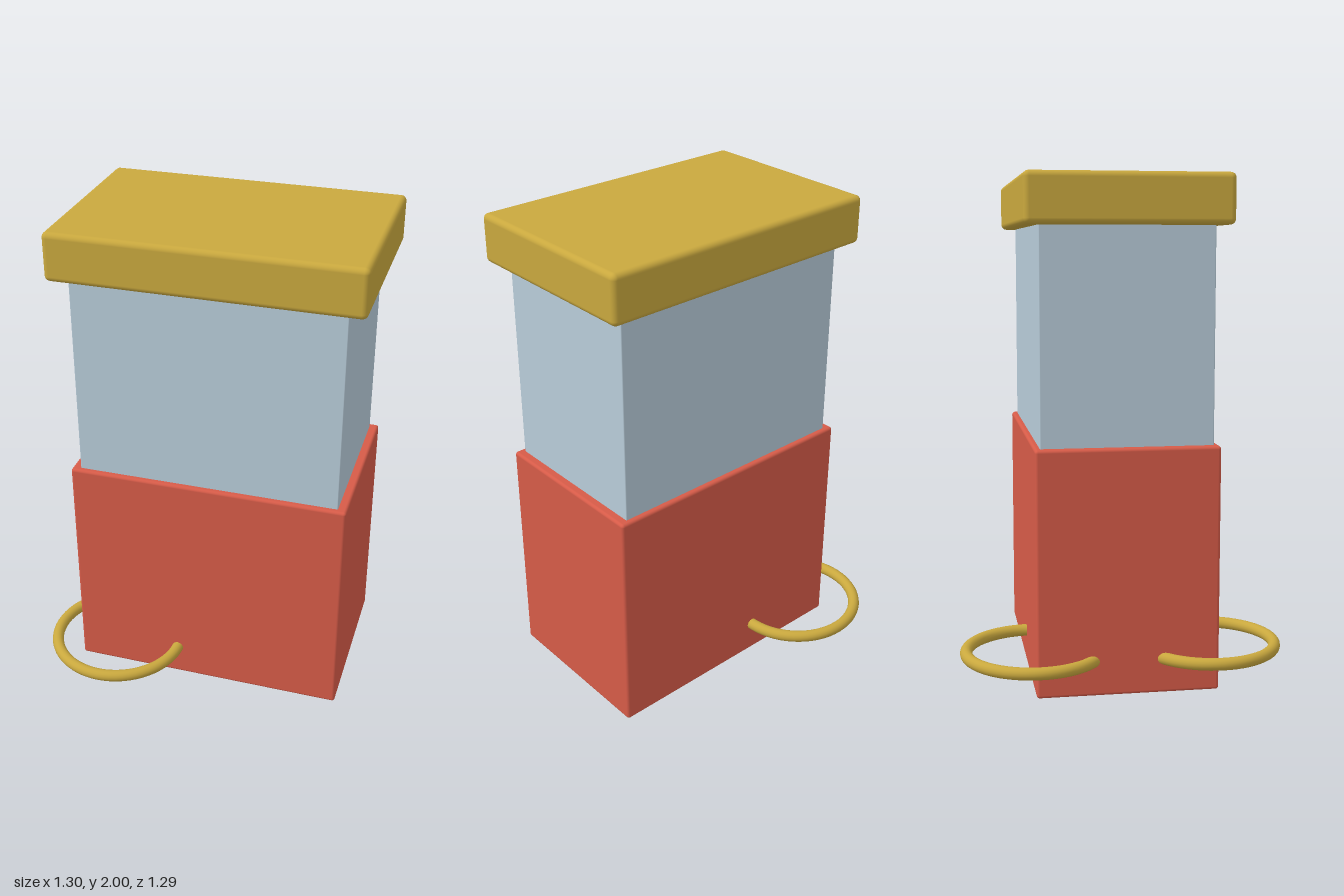
import * as THREE from 'three';
import { RoundedBoxGeometry } from 'three/addons/geometries/RoundedBoxGeometry.js';

export function createModel() {
  const model = new THREE.Group();
  const material = (name, color) => {
    const m = new THREE.MeshStandardMaterial({ color });
    m.name = name;
    return m;
  };
  const gold = material('gold', 0xc9a83e);
  const blue = material('pale blue', 0xb8ccd9);
  const red = material('red', 0xd65b48);

  const add = (name, geometry, mat, x, y, z) => {
    const mesh = new THREE.Mesh(geometry, mat);
    mesh.name = name;
    mesh.position.set(x, y, z);
    model.add(mesh);
    return mesh;
  };

  // Stacked body, all sharing one slightly offset axis
  const cx = 0.041;
  add('base', new RoundedBoxGeometry(1.14, 0.967, 0.716, 3, 0.012), red, cx, 0.488, 0);
  add('upperBody', new RoundedBoxGeometry(1.068, 0.87, 0.672, 2, 0.004), blue, cx, 1.39, 0);
  add('lid', new RoundedBoxGeometry(1.214, 0.193, 0.792, 4, 0.022), gold, cx, 1.9035, 0);

  // A ring through each right-hand corner of the base
  for (const side of [1, -1]) {
    const ring = add(side > 0 ? 'frontRing' : 'backRing',
      new THREE.TorusGeometry(0.27, 0.024, 16, 64), gold, -0.355, 0.141, side * 0.35);
    ring.rotation.x = Math.PI / 2;
  }
  return model;
}
